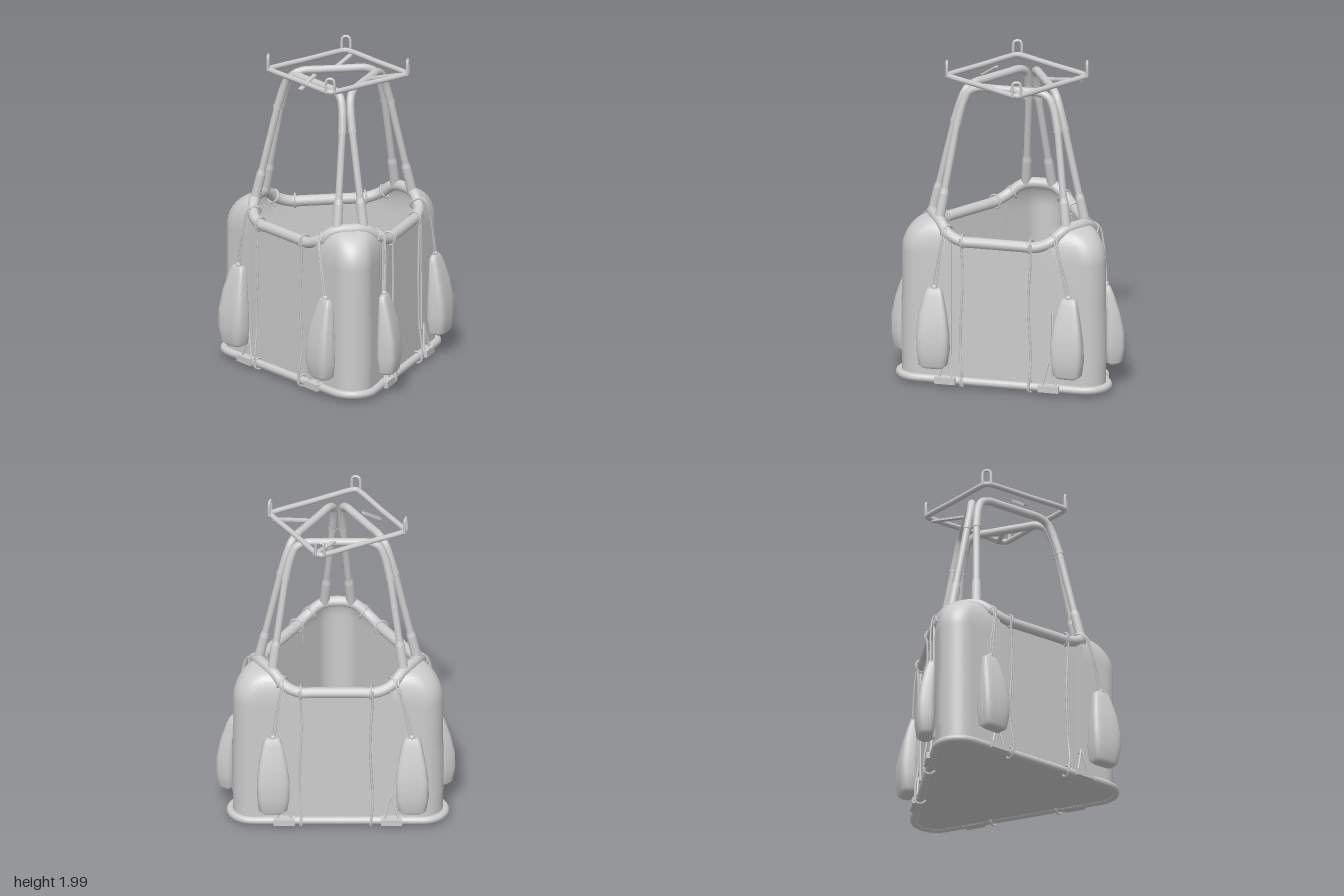
import * as THREE from 'three';

const grey = new THREE.MeshStandardMaterial({ color: 0xcccccc });
const greyDouble = new THREE.MeshStandardMaterial({ color: 0xcccccc, side: THREE.DoubleSide });
const V = (x, y, z) => new THREE.Vector3(x, y, z);
const RAD = Math.PI / 180;
const D = 0.6; // distance from the middle to each corner's centre of rounding

function add(parent, name, geometry, material = grey) {
  const mesh = new THREE.Mesh(geometry, material);
  mesh.name = name;
  parent.add(mesh);
  return mesh;
}

function tube(parent, name, points, r, segments = 40, closed = false, sides = 10) {
  const curve = new THREE.CatmullRomCurve3(points, closed, 'centripetal');
  return add(parent, name, new THREE.TubeGeometry(curve, segments, r, sides, closed));
}

// Round bar from a to b
function rod(parent, name, a, b, r1, r2 = r1) {
  const mesh = add(parent, name, new THREE.CylinderGeometry(r2, r1, a.distanceTo(b), 14));
  mesh.position.copy(a).lerp(b, 0.5);
  mesh.quaternion.setFromUnitVectors(V(0, 1, 0), b.clone().sub(a).normalize());
  return mesh;
}

// Flat strip from a to b
function strip(parent, name, a, b, width, thick) {
  const mesh = add(parent, name, new THREE.BoxGeometry(width, thick, a.distanceTo(b)));
  mesh.position.copy(a).lerp(b, 0.5);
  mesh.lookAt(b);
  return mesh;
}

// Ring wrapped round a tube running along the given direction
function wrap(parent, name, at, along, r, thick = 0.007) {
  const mesh = add(parent, name, new THREE.TorusGeometry(r, thick, 6, 20));
  mesh.position.copy(at);
  mesh.quaternion.setFromUnitVectors(V(0, 0, 1), along.clone().normalize());
}

// Skin over cross-section rings listed from bottom to top
function loft(rings, closed = true) {
  const n = rings[0].length, index = [];
  for (let i = 0; i < rings.length - 1; i++) {
    for (let j = 0; j < (closed ? n : n - 1); j++) {
      const a = i * n + j, b = i * n + (j + 1) % n;
      index.push(a, b, b + n, a, b + n, a + n);
    }
  }
  const g = new THREE.BufferGeometry().setFromPoints(rings.flat());
  g.setIndex(index);
  g.computeVertexNormals();
  return g;
}

// Rounded triangle outline with corner radius r
function roundTriangle(r, y) {
  const pts = [];
  for (const corner of [60, 180, 300]) {
    const c = corner * RAD;
    for (let i = 0; i <= 12; i++) {
      const a = (corner - 60 + i * 10) * RAD;
      pts.push(V(D * Math.sin(c) + r * Math.sin(a), y, D * Math.cos(c) + r * Math.cos(a)));
    }
    const end = pts[pts.length - 1], next = (corner + 120) * RAD, a = (corner + 60) * RAD;
    const to = V(D * Math.sin(next) + r * Math.sin(a), y, D * Math.cos(next) + r * Math.cos(a));
    for (const t of [0.1, 0.5, 0.9]) pts.push(end.clone().lerp(to, t));
  }
  return pts;
}

// Point of the same outline in direction a
function outlineAt(a, r, y) {
  const deg = a / RAD;
  const off = Math.abs((((deg % 120) + 120) % 120) - 60) * RAD;
  const limit = Math.atan2(r * Math.sin(60 * RAD), D + r / 2);
  const rho = off < limit
    ? D * Math.cos(off) + Math.sqrt(r * r - (D * Math.sin(off)) ** 2)
    : (D / 2 + r) / Math.cos(60 * RAD - off);
  return V(rho * Math.sin(a), y, rho * Math.cos(a));
}

// Rim path: low along the sides, humped over the corners
function rimCurve() {
  const half = [[0, 0.525, 1.05], [0.1, 0.515, 1.038], [0.19, 0.483, 0.975], [0.25, 0.417, 0.942], [0.3, 0.33, 0.94]];
  const local = [...half.slice(1).reverse().map(([v, u, y]) => [-v, u, y]), ...half, [0.368, 0.2125, 0.94]];
  const pts = [];
  for (const corner of [60, 180, 300]) {
    const s = Math.sin(corner * RAD), c = Math.cos(corner * RAD);
    for (const [v, u, y] of local) pts.push(V(u * s + v * c, y, u * c - v * s));
  }
  return new THREE.CatmullRomCurve3(pts, true, 'centripetal');
}

function bagGeometry() {
  // y, half width, half depth, z offset
  const profile = [[0.14, 0, 0, 0], [0.14, 0.065, 0.035, 0], [0.158, 0.088, 0.052, 0], [0.25, 0.1, 0.062, 0.002],
    [0.36, 0.1, 0.06, 0], [0.48, 0.085, 0.048, -0.012], [0.59, 0.062, 0.032, -0.028], [0.63, 0.05, 0.022, -0.034],
    [0.64, 0.035, 0.015, -0.034], [0.64, 0, 0, -0.034]];
  const power = (v) => Math.sign(v) * Math.abs(v) ** 0.55;
  return loft(profile.map(([y, w, d, z], k) => Array.from({ length: 28 }, (_, j) => {
    const a = j / 28 * Math.PI * 2;
    const dent = 1 + 0.04 * Math.sin(3 * a + k);
    return V(w * power(Math.sin(a)) * dent, y, z + d * power(Math.cos(a)) * dent);
  })));
}

// Everything fixed to one side of the basket, and its hoop above
function side() {
  const g = new THREE.Group();
  g.name = 'basketSide';
  const bag = bagGeometry();
  for (const s of [-1, 1]) {
    // Hanging bag with its cords
    const x = s < 0 ? -0.4 : 0.455;
    const m = add(g, 'hangingBag', bag);
    m.position.set(x, 0, 0.497);
    m.rotation.y = -s * 0.06;
    const top = s * (s < 0 ? 0.345 : 0.365);
    for (const d of [-0.009, 0.009]) {
      tube(g, 'bagCord', [V(x + d, 0.62, 0.465), V(x * 0.7 + top * 0.3 + d, 0.76, 0.462), V(x * 0.3 + top * 0.7 + d * 0.5, 0.9, 0.455),
        V(top + d, 1.0, 0.435), V(top + d, 1.035, 0.385)], 0.005, 24, false, 6);
    }
    wrap(g, 'cordLoop', V(s * 0.345, 0.99, 0.385), V(s * 0.7, 0.45, -0.45), 0.041);
    const knot = add(g, 'cordKnot', new THREE.SphereGeometry(0.018, 10, 8));
    knot.position.set(x, 0.645, 0.463);

    // Long loose rope from rim to base
    const rx = s < 0 ? -0.23 : 0.205;
    const rope = [0.97, 0.85, 0.7, 0.55, 0.4, 0.25, 0.12, 0.03].map((y, i) =>
      V(rx + 0.008 * Math.sin(i * 1.3 + s), y, i === 0 ? 0.46 : i > 5 ? 0.472 : 0.452));
    tube(g, 'sideRope', rope, 0.007, 40, false, 6);
    wrap(g, 'rimLoop', V(rx, 0.943, 0.425), V(1, 0, 0.1 * s), 0.042);
    wrap(g, 'baseLoop', V(rx, 0.047, 0.44), V(1, 0, 0.1), 0.035);

    // Webbing strap, splitting into two tails at a sleeve on the base tube
    strip(g, 'webbingStrap', V(s * 0.32, 0.97, 0.428), V(s * 0.32, 0.2, 0.43), 0.036, 0.01);
    for (const d of [-0.045, 0.045]) {
      rod(g, 'strapTail', V(s * 0.325, 0.23, 0.438), V(s * 0.33 + d, 0.06, 0.455), 0.007);
    }
    const sleeve = add(g, 'baseSleeve', new THREE.BoxGeometry(0.13, 0.042, 0.06));
    sleeve.position.set(s * 0.33, 0.05, 0.452);

    // Hoop leg: padded foot, thin middle and collar
    const foot = V(s * 0.405, 1.04, 0.33), knee = V(s * 0.32, 1.64, 0.22);
    const at = (t) => foot.clone().lerp(knee, t);
    rod(g, 'legFoot', foot, at(0.27), 0.031, 0.029);
    rod(g, 'legFootTaper', at(0.27), at(0.32), 0.029, 0.023);
    rod(g, 'hoopLeg', at(0.3), knee, 0.022);
    rod(g, 'legCollar', at(0.98), at(1.01), 0.027);
  }
  // Upper bend of the hoop
  const bend = [[0.32, 1.64, 0.22], [0.287, 1.77, 0.195], [0.255, 1.832, 0.184], [0.195, 1.86, 0.178], [0.1, 1.862, 0.177]];
  tube(g, 'hoopTop', [...bend.map(([x, y, z]) => V(-x, y, z)), ...bend.reverse().map(([x, y, z]) => V(x, y, z))], 0.025, 60, false, 14);

  // Padded patch on one corner
  const ring = (y) => Array.from({ length: 41 }, (_, j) => outlineAt((60 - 10 + j * 0.5) * RAD, 0.13, y));
  add(g, 'cornerPatch', loft([ring(0.19), ring(0.53)], false), greyDouble);
  return g;
}

export function createModel() {
  const root = new THREE.Group();
  root.name = 'balloonBasket';
  const body = new THREE.Group();
  body.name = 'basket';
  body.position.z = 0.09;
  root.add(body);

  // Base tube and floor
  tube(body, 'baseTube', roundTriangle(0.14, 0.047), 0.025, 200, true, 14);
  const floorShape = new THREE.Shape(roundTriangle(0.138, 0).map((p) => new THREE.Vector2(p.x, p.z)));
  const floor = add(body, 'floor', new THREE.ExtrudeGeometry(floorShape, { depth: 0.02, bevelEnabled: false }));
  floor.rotation.x = Math.PI / 2;
  floor.position.y = 0.055;

  // Rim and the wall that curves in to meet it at the corners
  const rim = rimCurve();
  add(body, 'rim', new THREE.TubeGeometry(rim, 240, 0.034, 14, true));
  const rimPts = rim.getSpacedPoints(420).slice(0, 420);
  const low = rimPts.map((p) => outlineAt(Math.atan2(p.x, p.z), 0.125, 0));
  const rings = [0.05, 0.3, 0.6].map((y) => low.map((p) => V(p.x, y, p.z)));
  for (let i = 0; i <= 10; i++) {
    const s = i / 10 * Math.PI / 2, k = 1 - Math.cos(s);
    rings.push(low.map((p, j) => V(p.x + (rimPts[j].x - p.x) * k, 0.84 + (rimPts[j].y - 0.84) * Math.sin(s), p.z + (rimPts[j].z - p.z) * k)));
  }
  add(body, 'wall', loft(rings), greyDouble);

  // Three matching sides
  for (let i = 0; i < 3; i++) {
    const g = side();
    g.rotation.y = i * 120 * RAD;
    body.add(g);
  }

  // Square top frame with a lug at each corner
  const h = 0.308, c = 0.025, square = [];
  for (let i = 0; i < 4; i++) {
    for (const [x, z] of [[-h + c, h], [0, h], [h - c, h], [h - c * 0.3, h - c * 0.3]]) {
      square.push(V(x, 1.902, z).applyAxisAngle(V(0, 1, 0), i * Math.PI / 2));
    }
    const lug = tube(body, 'cornerLug', [V(-0.026, 1.9, 0), V(-0.026, 1.96, 0), V(-0.02, 1.983, 0), V(0, 1.991, 0),
      V(0.02, 1.983, 0), V(0.026, 1.96, 0), V(0.026, 1.9, 0)], 0.009, 30);
    const a = (45 + i * 90) * RAD;
    lug.position.set(0.305 * Math.SQRT2 * Math.sin(a), 0, 0.305 * Math.SQRT2 * Math.cos(a));
    lug.rotation.y = a;
  }
  tube(body, 'topFrame', square, 0.017, 160, true, 12);

  // Braces from the hoops to the frame
  strip(body, 'frameBrace', V(0, 1.868, 0.17), V(0, 1.893, 0.31), 0.028, 0.012);
  for (const s of [-1, 1]) strip(body, 'frameBrace', V(s * 0.12, 1.868, -0.14), V(s * 0.29, 1.893, -0.29), 0.028, 0.012);
  return root;
}
